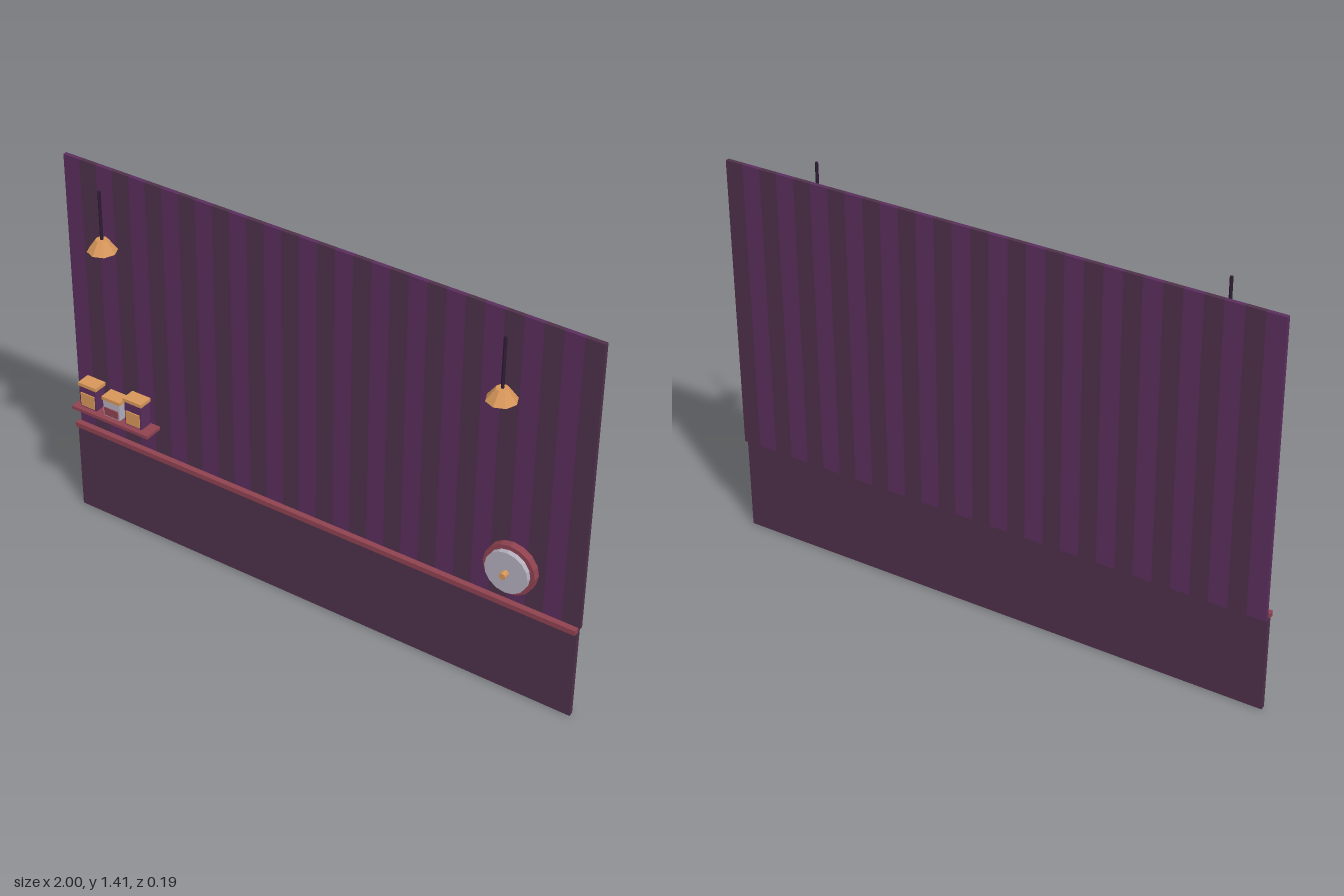
import * as THREE from 'three';

const mat = (name, color) => {
  const m = new THREE.MeshStandardMaterial({ color });
  m.name = name;
  m.flatShading = true;
  return m;
};

export function createModel() {
  const root = new THREE.Group();
  root.name = 'wallPanel';
  const purple = mat('purple', 0x5a2e5c);
  const plum = mat('plum', 0x4d3049);
  const red = mat('red wood', 0x8f4250);
  const gold = mat('gold', 0xd6965a);
  const grey = mat('pale grey', 0xb2aebd);
  const dark = mat('dark cord', 0x2e1c33);

  const add = (parent, name, geo, m, x = 0, y = 0, z = 0) => {
    const mesh = new THREE.Mesh(geo, m);
    mesh.name = name;
    mesh.position.set(x, y, z);
    parent.add(mesh);
    return mesh;
  };
  // box given by its low and high limits on each axis
  const box = (parent, name, m, x0, x1, y0, y1, z0, z1) =>
    add(parent, name, new THREE.BoxGeometry(x1 - x0, y1 - y0, z1 - z0), m,
      (x0 + x1) / 2, (y0 + y1) / 2, (z0 + z1) / 2);
  const group = (name) => {
    const g = new THREE.Group();
    g.name = name;
    root.add(g);
    return g;
  };

  // striped upper wall
  const wall = group('stripedWall');
  const count = 30, w = 2 / count;
  for (let i = 0; i < count; i++) {
    box(wall, 'stripe', i % 2 ? plum : purple, -1 + i * w, -1 + (i + 1) * w, 0.35, 1.413, -0.097, -0.082);
  }

  // lower panel and rail
  box(root, 'lowerPanel', plum, -1, 1, 0, 0.35, -0.082, -0.064);
  box(root, 'rail', red, -1, 1, 0.345, 0.364, -0.071, -0.05);

  // hanging lamps
  for (const x of [-0.75, 0.743]) {
    const lamp = group('hangingLamp');
    lamp.position.set(x, 0, 0.045);
    add(lamp, 'cord', new THREE.CylinderGeometry(0.0055, 0.0055, 0.18, 6), dark, 0, 1.323, 0);
    add(lamp, 'shade', new THREE.CylinderGeometry(0.021, 0.051, 0.041, 8), gold, 0, 1.216, 0);
    add(lamp, 'bulb', new THREE.SphereGeometry(0.019, 8, 6), gold, 0, 1.188, 0);
  }

  // round clock
  const clock = group('clock');
  clock.position.set(0.763, 0.515, 0);
  const disc = (name, r, z0, z1, sides, m) => {
    const d = add(clock, name, new THREE.CylinderGeometry(r, r, z1 - z0, sides), m, 0, 0, (z0 + z1) / 2);
    d.rotation.x = Math.PI / 2;
  };
  disc('clockRim', 0.094, -0.056, -0.03, 16, red);
  disc('clockFace', 0.078, -0.03, -0.012, 16, grey);
  disc('clockKnob', 0.012, -0.012, 0.011, 8, gold);

  // shelf with canisters
  const shelf = group('shelf');
  box(shelf, 'shelfBoard', red, -0.96, -0.632, 0.47, 0.482, -0.064, 0.008);
  const canisters = [
    [-0.902, 0.565, purple, gold],
    [-0.8, 0.546, grey, red],
    [-0.706, 0.575, purple, gold],
  ];
  for (const [x, top, body, label] of canisters) {
    box(shelf, 'canister', body, x - 0.035, x + 0.035, 0.482, top, -0.06, -0.012);
    box(shelf, 'canisterLid', gold, x - 0.039, x + 0.039, top, top + 0.013, -0.063, -0.009);
    const h = label === red ? 0.03 : 0.052;
    box(shelf, 'canisterLabel', label, x - 0.029, x + 0.029, 0.488, 0.488 + h, -0.012, -0.008);
  }
  return root;
}
